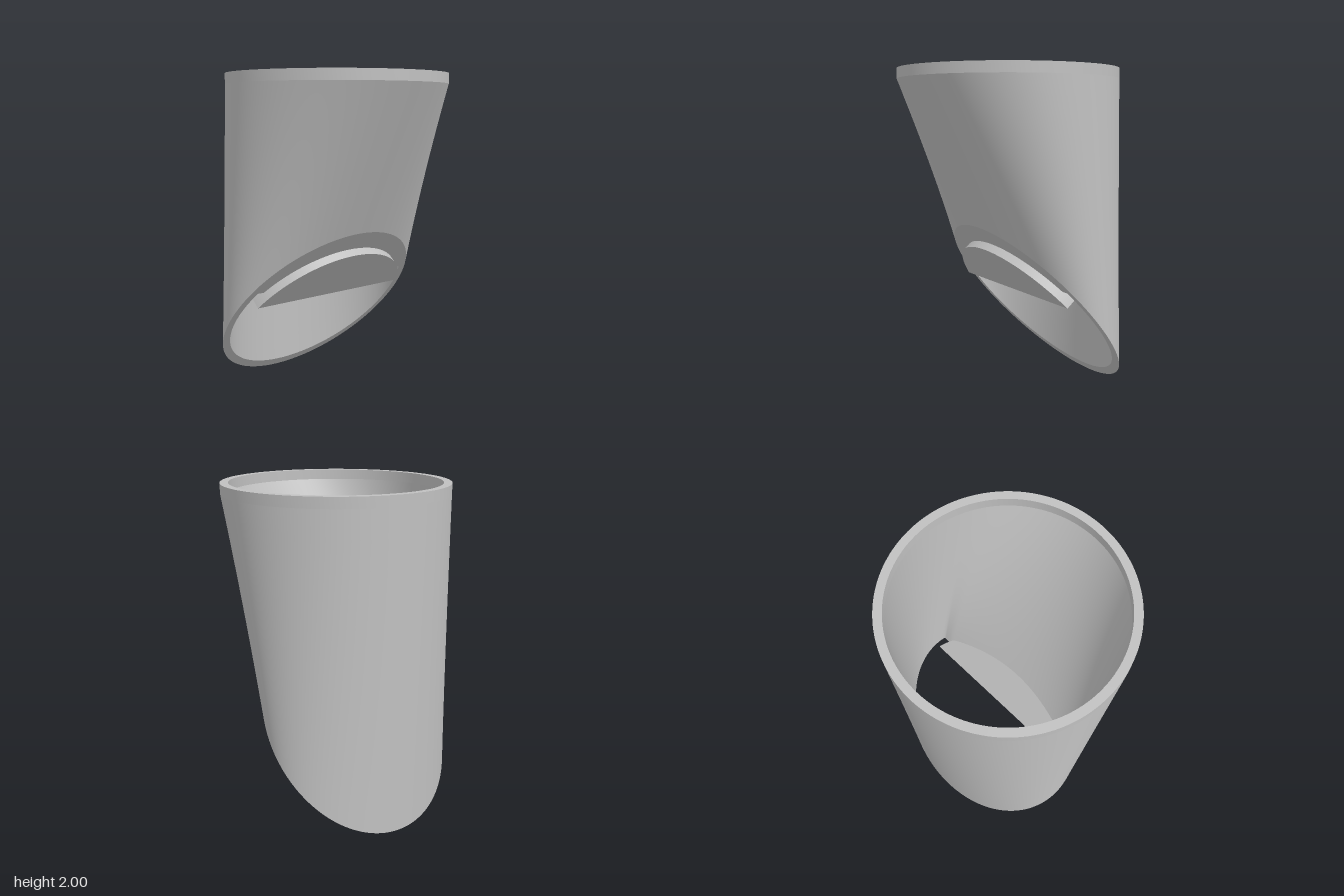
import * as THREE from 'three';

const SEG = 160;
const V = (x, y, z) => new THREE.Vector3(x, y, z);

// Axes of the slanted lower opening: along it, and out of it
const ALONG = V(0, 0.767, 0.642);
const OUT = V(0, -0.642, 0.767);
const ORIGIN = V(0, 0, -0.645);

function ring(f) {
  return Array.from({ length: SEG }, (_, i) => {
    const a = (i / SEG) * Math.PI * 2;
    return f(Math.cos(a), Math.sin(a));
  });
}
const circle = (r, y) => ring((c, s) => V(r * c, y, r * s));

// Slanted ellipse; limit(x) may cut its upper part to a flatter arc
const slanted = (rx, rs, limit) => ring((c, s) => {
  const x = rx * c;
  let t = 0.6975 + rs * s;
  if (limit) t = Math.min(t, limit(x));
  return ORIGIN.clone().addScaledVector(ALONG, t).setX(x);
});

// Ruled surface between two closed rings
function loft(from, to, rows) {
  const pos = [], index = [];
  for (let r = 0; r <= rows; r++) {
    for (let i = 0; i < SEG; i++) {
      const p = from[i].clone().lerp(to[i], r / rows);
      pos.push(p.x, p.y, p.z);
    }
  }
  for (let r = 0; r < rows; r++) {
    for (let i = 0; i < SEG; i++) {
      const j = (i + 1) % SEG;
      const a = r * SEG + i, b = r * SEG + j, c = a + SEG, d = b + SEG;
      index.push(a, b, c, b, d, c);
    }
  }
  const g = new THREE.BufferGeometry();
  g.setAttribute('position', new THREE.Float32BufferAttribute(pos, 3));
  g.setIndex(index);
  g.computeVertexNormals();
  return g;
}

export function createModel() {
  const model = new THREE.Group();
  model.name = 'slantedTube';
  const grey = new THREE.MeshStandardMaterial({ color: 0xc0c0c0 });
  grey.name = 'grey';
  const add = (name, geometry) => {
    const mesh = new THREE.Mesh(geometry, grey);
    mesh.name = name;
    model.add(mesh);
    return mesh;
  };

  // Tube wall: down the outside, across the slanted rim, up the inside
  const cap = (x) => 0.958 + 0.12 * Math.max(0, 1 - (x / 0.515) ** 2);
  const outerTop = circle(0.662, 2), outerLip = circle(0.662, 1.94);
  const outerLow = slanted(0.67, 0.6975);
  const innerLow = slanted(0.625, 0.626, cap);
  const innerLip = circle(0.615, 1.94), innerTop = circle(0.615, 2);
  add('outerLip', loft(outerTop, outerLip, 1));
  add('outerWall', loft(outerLip, outerLow, 12));
  add('slantedRim', loft(outerLow, innerLow, 1));
  add('innerWall', loft(innerLow, innerLip, 12));
  add('innerLip', loft(innerLip, innerTop, 1));
  add('topRim', loft(innerTop, outerTop, 1));

  // Circular-segment baffle standing on the slanted rim
  const a0 = 0.414;
  const segment = new THREE.Shape();
  segment.absarc(0, 0.635, 0.617, a0, Math.PI - a0, false);
  segment.closePath();
  const baffle = add('baffle', new THREE.ExtrudeGeometry(segment, {
    depth: 0.067, bevelEnabled: false, curveSegments: 64,
  }));
  baffle.geometry.translate(0, 0, -0.015);
  baffle.geometry.applyMatrix4(
    new THREE.Matrix4().makeBasis(V(1, 0, 0), ALONG, OUT).setPosition(ORIGIN));

  return model;
}
